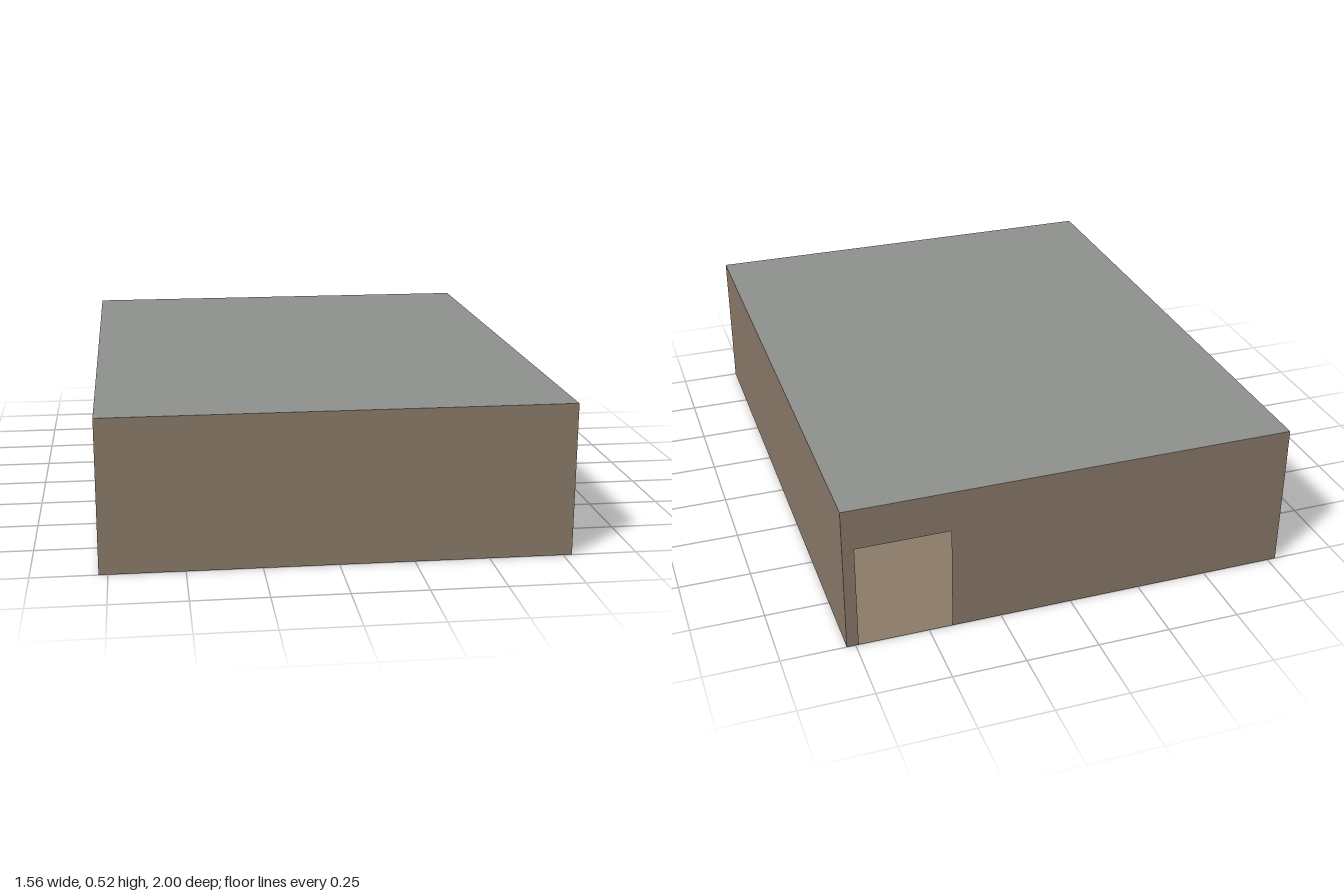
import * as THREE from 'three';

const W = 1.56, H = 0.52, D = 2;
const DOOR = { x0: 0.42, x1: 0.74, top: 0.375 };

export function createModel() {
  const model = new THREE.Group();
  model.name = 'building';

  const material = (name, color) => {
    const m = new THREE.MeshStandardMaterial({ color, side: THREE.DoubleSide });
    m.name = name;
    return m;
  };
  const brown = material('wallBrown', 0x8a7a69);
  const grey = material('roofGrey', 0x8f918d);

  const add = (name, geometry, mat, position, rotation = [0, 0, 0]) => {
    const mesh = new THREE.Mesh(geometry, mat);
    mesh.name = name;
    mesh.position.set(...position);
    mesh.rotation.set(...rotation);
    model.add(mesh);
  };

  // Floor and flat roof: thin single sheets
  add('floor', new THREE.PlaneGeometry(W, D), brown, [0, 0, 0], [-Math.PI / 2, 0, 0]);
  add('roof', new THREE.PlaneGeometry(W, D), grey, [0, H, 0], [-Math.PI / 2, 0, 0]);

  // Solid front and side walls
  add('frontWall', new THREE.PlaneGeometry(W, H), brown, [0, H / 2, D / 2]);
  for (const [name, s] of [['leftWall', 1], ['rightWall', -1]]) {
    add(name, new THREE.PlaneGeometry(D, H), brown, [s * W / 2, H / 2, 0], [0, s * Math.PI / 2, 0]);
  }

  // Back wall outline with an open doorway; x is mirrored by the half turn
  const wall = new THREE.Shape([
    [-W / 2, 0], [-DOOR.x1, 0], [-DOOR.x1, DOOR.top], [-DOOR.x0, DOOR.top],
    [-DOOR.x0, 0], [W / 2, 0], [W / 2, H], [-W / 2, H],
  ].map(([x, y]) => new THREE.Vector2(x, y)));
  add('backWall', new THREE.ShapeGeometry(wall), brown, [0, 0, -D / 2], [0, Math.PI, 0]);

  return model;
}
